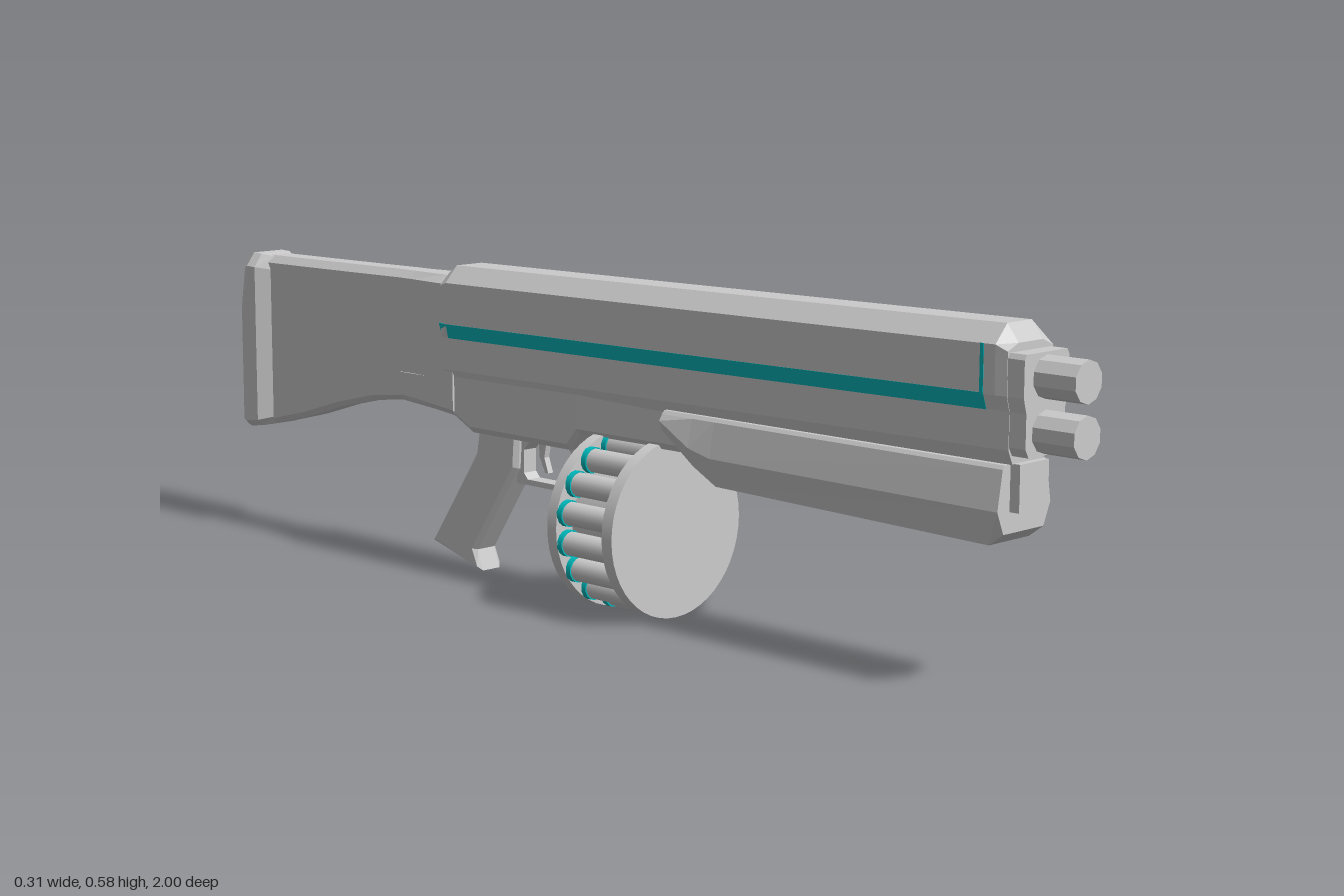
import * as THREE from 'three';

const CX = -0.007; // centre plane of the gun body
const grey = new THREE.MeshStandardMaterial({ color: 0xcccccc, flatShading: true });
const smooth = new THREE.MeshStandardMaterial({ color: 0xcccccc });
const cyan = new THREE.MeshStandardMaterial({ color: 0x00bcbf });

// Mirrors a half outline (top to bottom, x > 0) into a closed section at depth z.
function section(z, half, dy = 0) {
  const right = half.map(([x, y]) => [x, y + dy, z]).reverse();
  const left = half.map(([x, y]) => [-x, y + dy, z]);
  return [...right, ...left];
}

// Skins a row of sections ordered from front to back and caps both ends.
function loft(sections) {
  const pos = [];
  const n = sections[0].length;
  for (let i = 0; i < sections.length - 1; i++) {
    for (let j = 0; j < n; j++) {
      const k = (j + 1) % n;
      const a = sections[i][j], b = sections[i][k];
      const c = sections[i + 1][j], d = sections[i + 1][k];
      pos.push(...a, ...c, ...d, ...a, ...d, ...b);
    }
  }
  const cap = (s, flip) => {
    const pts = s.map(p => new THREE.Vector2(p[0], p[1]));
    for (const [a, b, c] of THREE.ShapeUtils.triangulateShape(pts, [])) {
      pos.push(...s[a], ...s[flip ? c : b], ...s[flip ? b : c]);
    }
  };
  cap(sections[0], false);
  cap(sections[sections.length - 1], true);
  const g = new THREE.BufferGeometry();
  g.setAttribute('position', new THREE.Float32BufferAttribute(pos, 3));
  g.computeVertexNormals();
  return g;
}

// Side outline in (z, y), extruded across x.
const outline = pts => pts.map(([z, y]) => new THREE.Vector2(-z, y));
function sidePlate(pts, width, bevel = 0, hole = null) {
  const shape = new THREE.Shape(outline(pts));
  if (hole) shape.holes.push(new THREE.Path(outline(hole)));
  const depth = width - 2 * bevel;
  const g = new THREE.ExtrudeGeometry(shape, {
    depth, bevelEnabled: bevel > 0, bevelSize: bevel, bevelOffset: -bevel,
    bevelThickness: bevel, bevelSegments: 1,
  });
  return g.translate(0, 0, -depth / 2).rotateY(Math.PI / 2);
}

// Cylinder along z from z0 to z1.
function rod(r, z0, z1, sides) {
  return new THREE.CylinderGeometry(r, r, z1 - z0, sides)
    .rotateX(Math.PI / 2).translate(0, 0, (z0 + z1) / 2);
}

export function createModel() {
  const model = new THREE.Group();
  model.name = 'drumShotgun';
  const gun = new THREE.Group();
  gun.name = 'gunBody';
  gun.position.x = CX;
  model.add(gun);

  const add = (parent, name, geometry, material = grey) => {
    const m = new THREE.Mesh(geometry, material);
    m.name = name;
    parent.add(m);
    return m;
  };

  // Long upper housing, dropping slightly towards the back
  const drop = z => (z - 0.87) * 0.0112;
  const body = [[0.03, 0.585], [0.058, 0.555], [0.058, 0.478], [0.049, 0.454], [0.049, 0.395], [0.038, 0.368]];
  const nose = [[0.03, 0.557], [0.056, 0.546], [0.056, 0.478], [0.049, 0.454], [0.049, 0.395], [0.038, 0.372]];
  const tail = [[0.026, 0.57], [0.05, 0.548], [0.05, 0.478], [0.047, 0.454], [0.047, 0.395], [0.038, 0.368]];
  add(gun, 'upperHousing', loft([
    section(0.892, nose), section(0.87, body),
    section(-0.375, body, drop(-0.375)), section(-0.4, tail, drop(-0.4)),
  ]));
  add(gun, 'muzzleCap', loft([0.923, 0.88].map(z => section(z, [
    [0.05, 0.544], [0.055, 0.536], [0.055, 0.478], [0.048, 0.454], [0.048, 0.4], [0.04, 0.386],
  ]))));

  // Coloured trim along both flanks
  for (const s of [1, -1]) {
    const strip = z => {
      const pts = [[0.0588, 0.48], [0.0496, 0.4535], [0.045, 0.4535], [0.045, 0.48]]
        .map(([x, y]) => [s * x, y + drop(z), z]);
      return s > 0 ? pts.reverse() : pts;
    };
    const end = strip(-0.402).map(([x, y, z]) => [x * 0.88, y, z]);
    add(gun, 'flankTrim', loft([strip(0.849), strip(-0.375), end]), cyan);
    const bar = new THREE.BoxGeometry(0.004, 0.078, 0.007);
    add(gun, 'frontTrim', bar, cyan).position.set(s * 0.0568, 0.516, 0.845);
  }

  // Twin barrels, one above the other
  for (const y of [0.506, 0.422]) {
    add(gun, 'barrel', rod(0.034, 0.9, 1, 10), grey).position.y = y;
  }

  // Faceted forend and the block inside its front
  const forend = (z, top, mid, bottom) => section(z, [[0.05, 0.372], [0.055, top], mid, bottom]);
  add(gun, 'forend', loft([
    forend(0.887, 0.366, [0.066, 0.302], [0.05, 0.265]),
    forend(0.86, 0.366, [0.066, 0.302], [0.05, 0.245]),
    forend(0.29, 0.366, [0.066, 0.306], [0.05, 0.257]),
    forend(0.24, 0.366, [0.066, 0.318], [0.052, 0.285]),
    forend(0.17, 0.366, [0.062, 0.355], [0.055, 0.338]),
  ]));
  add(gun, 'forendBlock', new THREE.BoxGeometry(0.072, 0.075, 0.1)).position.set(0, 0.336, 0.855);

  // Lower receiver, running back along the sides of the stock
  const lower = (z, w, bottom, top = 0.38) =>
    section(z, [[w, top], [w, bottom + 0.012], [w * 0.75, bottom]]);
  add(gun, 'lowerReceiver', loft([
    lower(0.2, 0.04, 0.3), lower(-0.05, 0.044, 0.3), lower(-0.075, 0.044, 0.27),
    lower(-0.33, 0.044, 0.27), lower(-0.38, 0.044, 0.295),
    lower(-0.43, 0.042, 0.3, 0.362), lower(-0.53, 0.036, 0.306, 0.36),
  ]));

  // Stock with a sagging lower edge
  const stock = [
    [-0.37, 0.552, 0.297, 0.048], [-0.41, 0.551, 0.3, 0.046], [-0.5, 0.55, 0.306, 0.034],
    [-0.54, 0.55, 0.305, 0.033], [-0.62, 0.549, 0.295, 0.033], [-0.72, 0.548, 0.271, 0.033],
    [-0.82, 0.547, 0.24, 0.033], [-0.94, 0.546, 0.21, 0.033],
  ];
  add(gun, 'stock', loft(stock.map(([z, top, bottom, w]) => section(z, [
    [w * 0.6, top], [w, top - 0.014], [w, bottom + 0.01], [w * 0.7, bottom],
  ]))));

  // Butt pad with its upper back corner leaning forward
  const pad = loft([
    [-0.92, 0.544, 0.216, 0.033], [-0.945, 0.548, 0.209, 0.053],
    [-0.982, 0.549, 0.204, 0.053], [-1, 0.543, 0.205, 0.044],
  ].map(([z, top, bottom, w]) => section(z, [
    [w * 0.65, top], [w, top - 0.025], [w, 0.44], [w, bottom + 0.012], [w * 0.75, bottom],
  ])));
  const p = pad.attributes.position;
  for (let i = 0; i < p.count; i++) {
    if (p.getZ(i) < -0.95 && p.getY(i) > 0.5) p.setZ(i, p.getZ(i) + 0.013);
  }
  add(gun, 'buttPad', pad);

  // Pistol grip, trigger guard and trigger
  add(gun, 'pistolGrip', sidePlate([
    [-0.22, 0.285], [-0.225, 0.215], [-0.335, 0.05], [-0.322, 0.012],
    [-0.458, 0.05], [-0.335, 0.23], [-0.325, 0.285],
  ], 0.056, 0.008));
  add(gun, 'triggerGuard', sidePlate(
    [[-0.075, 0.28], [-0.075, 0.2], [-0.09, 0.187], [-0.235, 0.187], [-0.235, 0.28]], 0.03, 0,
    [[-0.09, 0.255], [-0.1, 0.267], [-0.2, 0.267], [-0.216, 0.25], [-0.216, 0.208], [-0.206, 0.197], [-0.098, 0.197], [-0.09, 0.207]],
  ));
  add(gun, 'trigger', sidePlate(
    [[-0.165, 0.275], [-0.172, 0.24], [-0.162, 0.213], [-0.17, 0.213], [-0.184, 0.24], [-0.187, 0.275]], 0.012));

  // Drum magazine: two plates, a core and a ring of shells
  const drum = new THREE.Group();
  drum.name = 'drumMagazine';
  drum.position.y = 0.157;
  model.add(drum);
  add(drum, 'frontPlate', rod(0.157, 0.121, 0.145, 48), smooth);
  add(drum, 'rearPlate', rod(0.157, -0.012, 0.01, 48), smooth);
  add(drum, 'drumCore', rod(0.118, 0, 0.13, 32), smooth);
  const count = 16;
  for (let i = 0; i < count; i++) {
    const a = (i + 0.5) / count * Math.PI * 2;
    const shell = new THREE.Group();
    shell.name = 'shell';
    shell.position.set(0.134 * Math.cos(a), 0.134 * Math.sin(a), 0);
    add(shell, 'shellCase', rod(0.021, 0.005, 0.125, 14), smooth);
    add(shell, 'shellRim', rod(0.0235, 0.009, 0.021, 14), cyan);
    drum.add(shell);
  }
  add(gun, 'magazineMount', new THREE.BoxGeometry(0.064, 0.045, 0.15)).position.set(0, 0.295, 0.066);

  return model;
}
